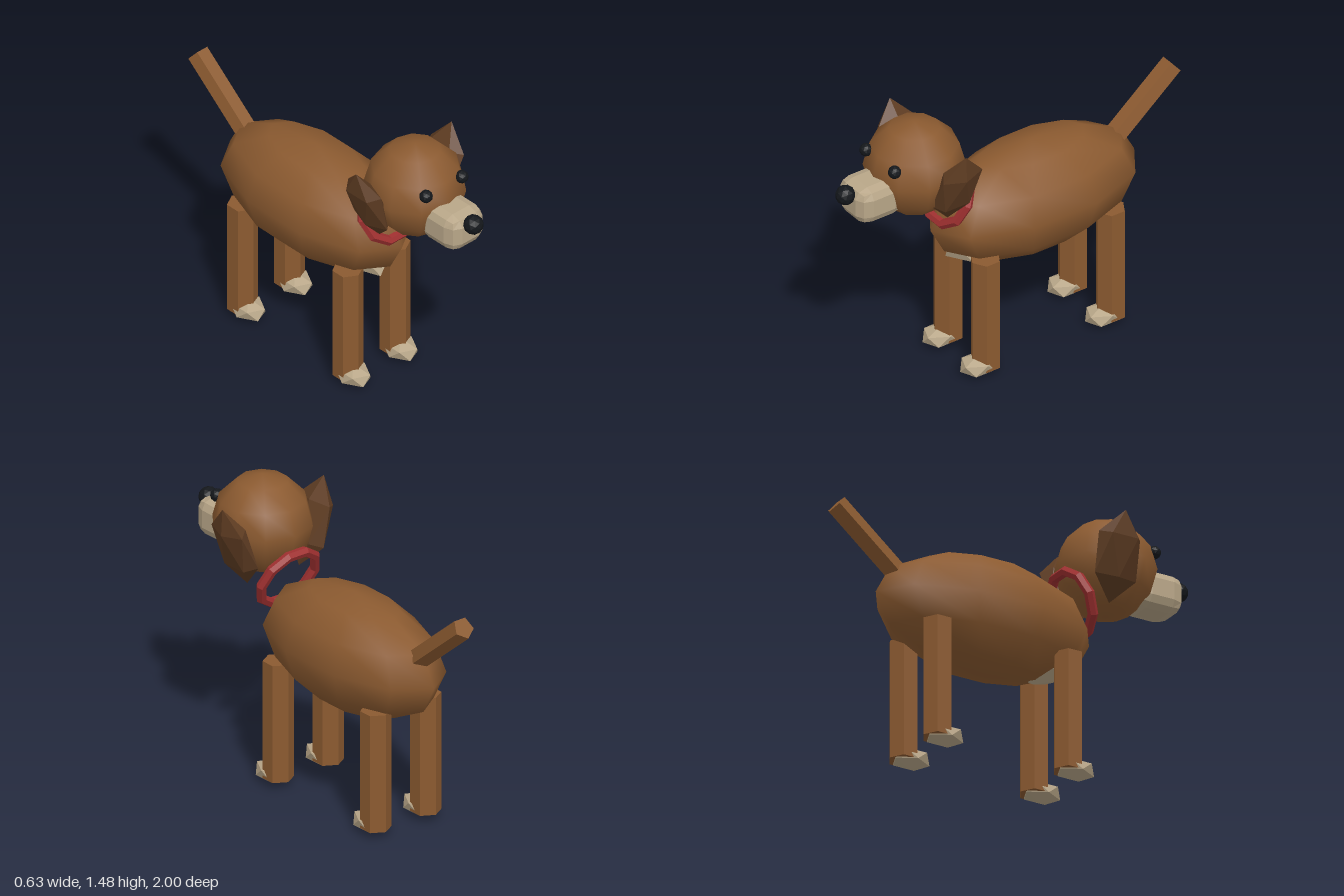
import * as THREE from 'three';
import { RoundedBoxGeometry } from 'three/addons/geometries/RoundedBoxGeometry.js';

const MX = -0.005; // middle line of the dog

const paint = (color, flatShading = true) => new THREE.MeshStandardMaterial({ color, flatShading });
const coat = paint(0x8b5a30, false);
const coatFlat = paint(0x8b5a30);
const earBrown = paint(0x5e3c22);
const cream = paint(0xb8a688);
const black = paint(0x14171b);
const red = paint(0xa03030);

// low-poly round form: ten sides, six rings, a corner pointing forward
function roundForm() {
  return new THREE.SphereGeometry(1, 10, 6).rotateY(Math.PI / 2);
}

// icosahedron standing on a corner, with an upper ring corner towards +x
function gem() {
  return new THREE.IcosahedronGeometry(1, 0)
    .rotateX(-Math.atan((1 + Math.sqrt(5)) / 2))
    .rotateY(Math.PI / 2);
}

export function createModel() {
  const dog = new THREE.Group();
  dog.name = 'dog';

  function add(name, geometry, material, position, scale = [1, 1, 1]) {
    const mesh = new THREE.Mesh(geometry, material);
    mesh.name = name;
    mesh.position.set(...position);
    mesh.scale.set(...scale);
    dog.add(mesh);
    return mesh;
  }

  // torso and chest patch
  add('body', roundForm(), coat, [MX, 0.805, -0.145], [0.289, 0.3, 0.597]);
  add('chestPatch', gem(), cream, [MX, 0.65, 0.14], [0.12, 0.12, 0.235]);

  // head and face
  add('head', roundForm(), coat, [MX, 1.228, 0.545], [0.248, 0.248, 0.248]);
  add('muzzle', new RoundedBoxGeometry(1, 1, 1, 1, 0.26), cream, [MX, 1.155, 0.8], [0.225, 0.19, 0.26]);
  add('nose', new THREE.IcosahedronGeometry(0.05, 1), black, [MX, 1.21, 0.95]);

  // collar, tilted back
  const collar = add('collar', new THREE.TorusGeometry(0.164, 0.026, 6, 10), red, [MX, 1.0, 0.353]);
  collar.rotation.x = -0.42;

  // tail, five-sided with a flat face on top
  const tail = add('tail', new THREE.CylinderGeometry(0.056, 0.056, 0.425, 5).rotateY(Math.PI),
    coatFlat, [MX, 1.07, -0.801]);
  tail.rotation.x = -0.88;

  // paired parts on both sides
  for (const [side, s] of [['left', 1], ['right', -1]]) {
    add(side + 'Eye', new THREE.IcosahedronGeometry(0.033, 1), black, [MX + s * 0.117, 1.325, 0.745]);

    const ear = add(side + 'Ear', gem(), earBrown, [MX + s * 0.236, 1.19, 0.466], [0.06, 0.228, 0.135]);
    ear.rotation.z = -s * 0.345;

    for (const [end, z] of [['Front', 0.24], ['Back', -0.492]]) {
      const x = MX + s * 0.154;
      add(side + end + 'Leg', new THREE.CylinderGeometry(0.076, 0.076, 0.615, 6), coatFlat, [x, 0.3425, z]);
      add(side + end + 'Paw', gem(), cream, [x, 0.054, z + 0.038], [0.083, 0.054, 0.11]);
    }
  }
  return dog;
}
